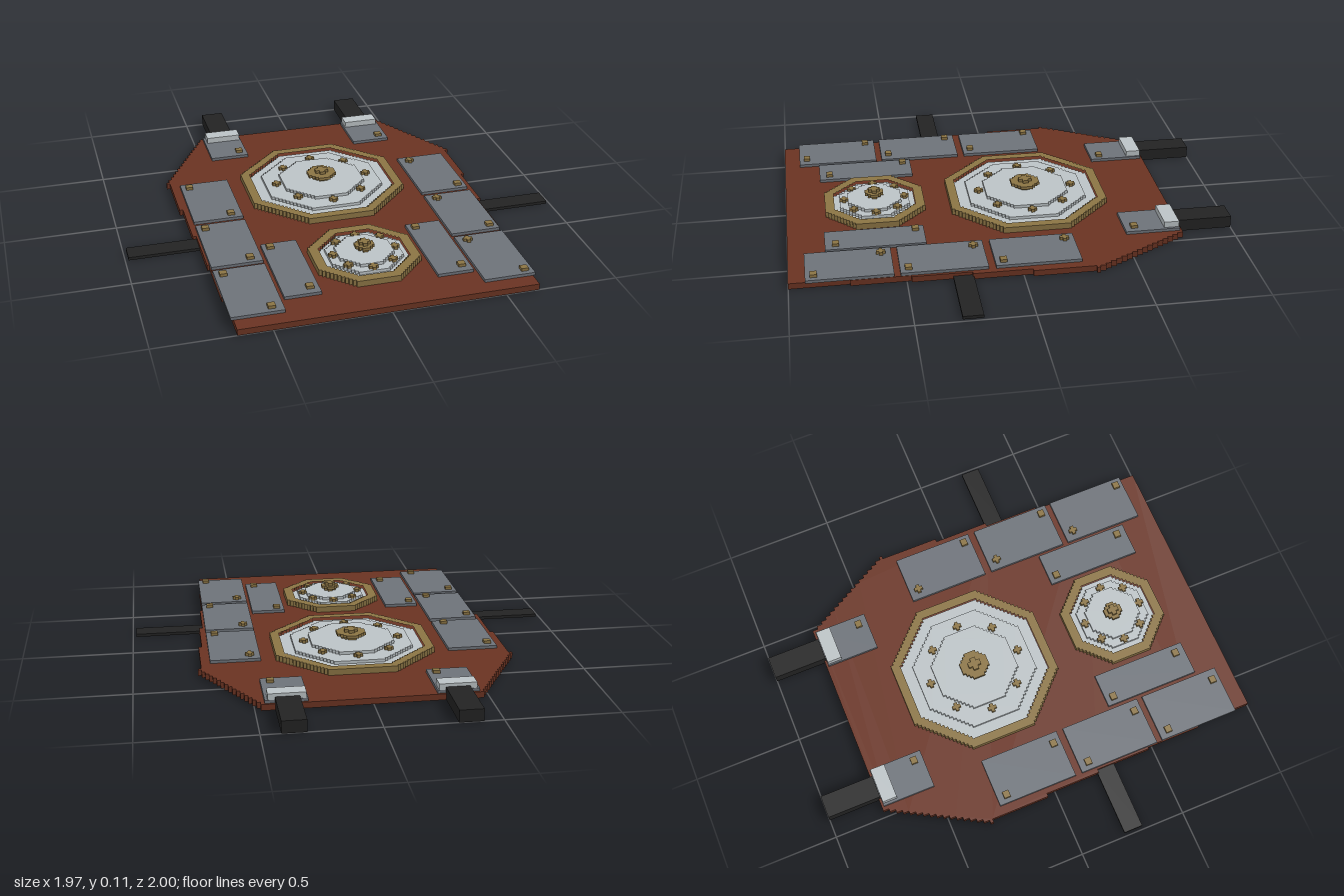
import * as THREE from 'three';

const V = 0.0137; // height of one block layer

function mat(name, color) {
  const m = new THREE.MeshStandardMaterial({ color });
  m.name = name;
  return m;
}

export function createModel() {
  const rust = mat('rust leather', 0x6a3322);
  const steel = mat('grey steel', 0x6d7279);
  const pale = mat('pale steel', 0xbcc3c6);
  const brass = mat('brass', 0x8b7444);
  const black = mat('black strap', 0x232323);
  const model = new THREE.Group();
  model.name = 'armourPlate';

  // Box from its limits in x and z, and layers in y
  function box(name, m, x0, x1, l0, l1, z0, z1, parent = model) {
    const mesh = new THREE.Mesh(new THREE.BoxGeometry(x1 - x0, (l1 - l0) * V, z1 - z0), m);
    mesh.position.set((x0 + x1) / 2, (l0 + l1) * V / 2, (z0 + z1) / 2);
    mesh.name = name;
    parent.add(mesh);
  }

  // Flat slab from an outline, standing between two layers
  function slab(name, m, points, l0, l1, z, hole, parent = model) {
    const shape = new THREE.Shape(points);
    if (hole) shape.holes.push(new THREE.Path(hole));
    const geo = new THREE.ExtrudeGeometry(shape, { depth: (l1 - l0) * V, bevelEnabled: false });
    geo.rotateX(-Math.PI / 2);
    const mesh = new THREE.Mesh(geo, m);
    mesh.position.set(0, l0 * V, z);
    mesh.name = name;
    parent.add(mesh);
  }

  // Octagon whose slanted sides are block stairs
  function octagon(r, flat = r * 0.43) {
    const n = Math.max(1, Math.round((r - flat) / V));
    const s = (r - flat) / n;
    const quarter = [[flat, r]];
    for (let i = 0; i < n; i++) {
      quarter.push([flat + i * s, r - (i + 1) * s], [flat + (i + 1) * s, r - (i + 1) * s]);
    }
    const pts = [];
    for (let q = 0; q < 4; q++) {
      for (const p of quarter) {
        let [x, y] = p;
        for (let k = 0; k < q; k++) [x, y] = [y, -x];
        pts.push(new THREE.Vector2(x, y));
      }
    }
    return pts;
  }

  // Backing: stepped shoulders at the rear, sides narrowing to the front
  const half = [[0.475, -0.76]];
  const steps = 16;
  for (let i = 0; i < steps; i++) {
    const x = 0.475 + (i + 1) * 0.24 / steps;
    const z = -0.76 + (i + 1) * 0.43 / steps;
    half.push([x - 0.24 / steps, z], [x, z]);
  }
  half.push([0.715, -0.315], [0.7, -0.315], [0.7, -0.04], [0.685, -0.04], [0.685, 0.22],
    [0.67, 0.22], [0.67, 0.48], [0.66, 0.48], [0.66, 0.74], [0.648, 0.74], [0.648, 1]);
  const outline = half.map(([x, z]) => new THREE.Vector2(x, -z))
    .concat(half.slice().reverse().map(([x, z]) => new THREE.Vector2(-x, -z)));
  slab('backing', rust, outline, 0, 2, 0);

  function stud(x, z, l0, cross, parent = model) {
    if (cross) {
      box('stud', brass, x - 0.02, x + 0.02, l0, l0 + 1, z - 0.008, z + 0.008, parent);
      box('stud', brass, x - 0.008, x + 0.008, l0, l0 + 1, z - 0.02, z + 0.02, parent);
    } else {
      box('stud', brass, x - 0.016, x + 0.016, l0, l0 + 1, z - 0.015, z + 0.015, parent);
    }
  }

  // Side plates, studs on opposite corners
  for (const x0 of [-0.66, 0.43]) {
    for (const [z0, z1] of [[-0.26, 0.115], [0.147, 0.525], [0.552, 0.928]]) {
      box('sidePlate', steel, x0, x0 + 0.228, 2, 3, z0, z1);
      stud(x0 + (x0 < 0 ? 0.037 : 0.047), z0 + 0.045, 3, x0 > 0);
      stud(x0 + (x0 < 0 ? 0.177 : 0.19), z1 - 0.036, 3);
    }
  }
  // Inner front plates
  for (const x0 of [-0.415, 0.255]) {
    box('innerPlate', steel, x0, x0 + 0.16, 2, 3, 0.39, 0.835);
    stud(x0 + 0.035, 0.428, 3);
    stud(x0 + 0.12, 0.788, 3);
  }

  // Straps and rear buckles
  for (const s of [-1, 1]) {
    const span = (a, b) => (s > 0 ? [a, b] : [-b, -a]);
    box('sideStrap', black, ...span(0.67, 0.985), 0, 1, 0.215, 0.303);
    box('rearStrap', black, ...span(0.31, 0.415), 0, 4, -1, -0.75);
    box('rearPlate', steel, ...span(0.275, 0.458), 2, 3, -0.75, -0.503);
    box('rearBuckle', pale, ...span(0.282, 0.446), 3, 5, -0.748, -0.68);
    stud(s < 0 ? -0.312 : 0.416, -0.546, 3);
  }

  // Round bosses: brass rim, rising pale tiers, ring of studs and a hub
  function boss(name, z, [rim, outer, mid, inner], studR, diagR, hub) {
    const g = new THREE.Group();
    g.name = name;
    g.position.z = z;
    model.add(g);
    slab('bossRim', brass, octagon(rim), 2, 4, 0, octagon(outer), g);
    slab('outerTier', pale, octagon(outer), 2, 3, 0, null, g);
    slab('middleTier', pale, octagon(mid), 3, 4, 0, null, g);
    slab('innerTier', pale, octagon(inner), 4, 5, 0, null, g);
    for (let i = 0; i < 8; i++) {
      const a = i * Math.PI / 4;
      const r = i % 2 ? diagR * Math.SQRT2 : studR;
      stud(Math.cos(a) * r, Math.sin(a) * r, 4, true, g);
    }
    hub.forEach((r, i) => slab('hub', brass, octagon(r), 5 + i, 6 + i, 0, null, g));
  }
  boss('largeBoss', -0.118, [0.363, 0.322, 0.27, 0.19], 0.22, 0.152, [0.045, 0.066, 0.03]);
  boss('smallBoss', 0.592, [0.229, 0.186, 0.16, 0.122], 0.14, 0.1, [0.028, 0.042, 0.025]);

  return model;
}
